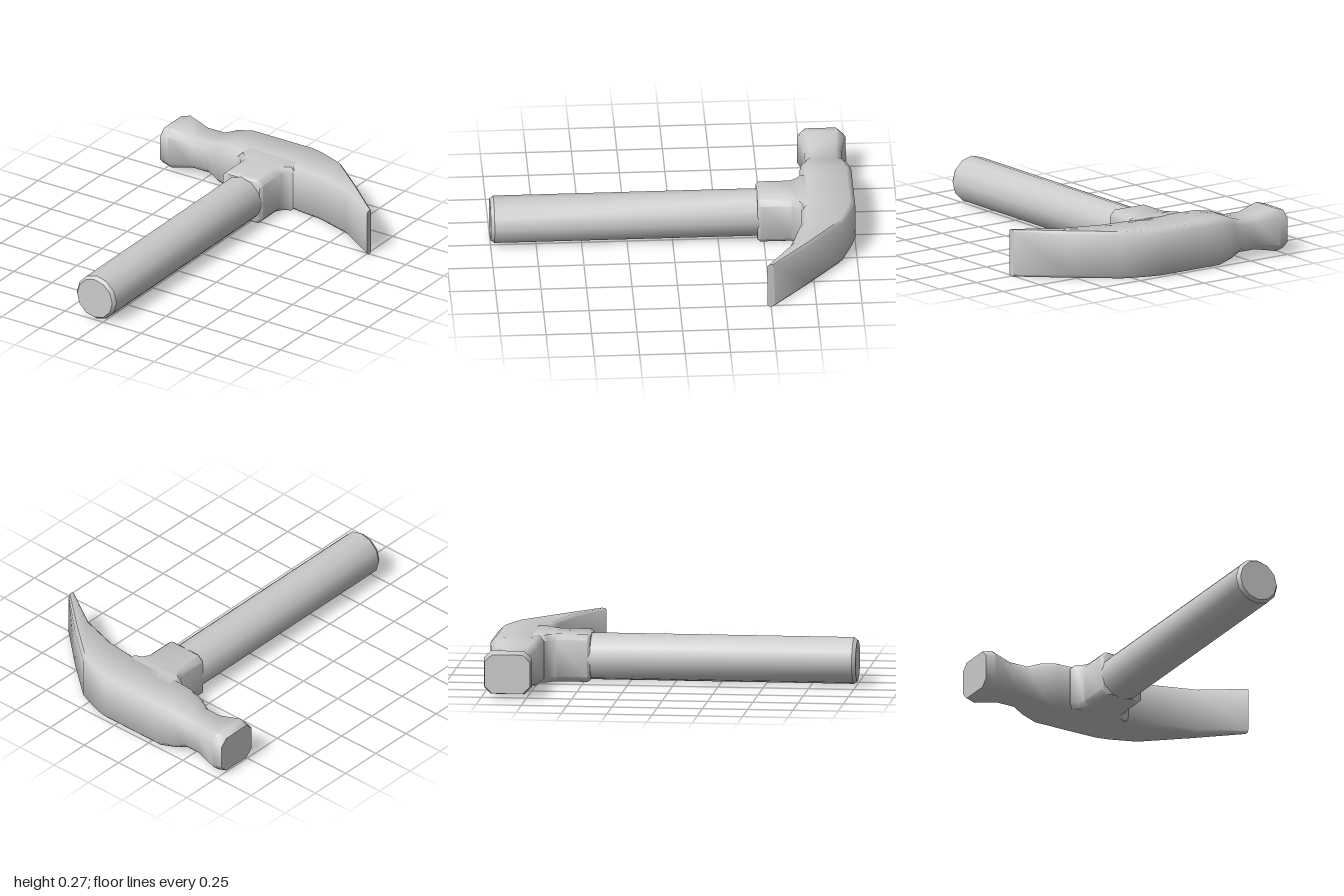
import * as THREE from 'three';
import { toCreasedNormals } from 'three/addons/utils/BufferGeometryUtils.js';

const material = new THREE.MeshStandardMaterial({ color: 0xcccccc });

// Rectangle with chamfered corners, counter-clockwise in (a, b)
function chamferedRect(a0, a1, b0, b1, c) {
  const ca = Math.min(c, (a1 - a0) * 0.35);
  const cb = Math.min(c, (b1 - b0) * 0.35);
  return [
    [a0 + ca, b0], [a1 - ca, b0], [a1, b0 + cb], [a1, b1 - cb],
    [a1 - ca, b1], [a0 + ca, b1], [a0, b1 - cb], [a0, b0 + cb],
  ];
}

// Skin a row of matching rings and close both ends
function loft(rings, crease) {
  const n = rings[0].length;
  const last = rings.length - 1;
  const points = rings.flat();
  const index = [];
  for (let i = 0; i < last; i++) {
    for (let j = 0; j < n; j++) {
      const k = (j + 1) % n;
      const a = i * n + j, b = i * n + k;
      index.push(a, b, b + n, a, b + n, a + n);
    }
  }
  for (let j = 1; j < n - 1; j++) {
    index.push(0, j + 1, j);
    index.push(last * n, last * n + j, last * n + j + 1);
  }
  const geometry = new THREE.BufferGeometry();
  geometry.setAttribute('position', new THREE.Float32BufferAttribute(points.flat(), 3));
  geometry.setIndex(index);
  return toCreasedNormals(geometry, crease);
}

function addMesh(group, name, geometry) {
  const mesh = new THREE.Mesh(geometry, material);
  mesh.name = name;
  group.add(mesh);
  return mesh;
}

export function createModel() {
  const group = new THREE.Group();
  group.name = 'clawHammer';

  // Head from striking face to claw tip: x, back z, front z, bottom y, top y, chamfer
  const headSections = [
    [-0.765, -0.98, -0.73, 0.03, 0.245, 0.04],
    [-0.71, -0.99, -0.725, 0.02, 0.26, 0.04],
    [-0.58, -0.96, -0.755, 0.045, 0.23, 0.03],
    [-0.47, -0.96, -0.755, 0.045, 0.23, 0.03],
    [-0.4, -0.985, -0.73, 0.025, 0.255, 0.03],
    [-0.31, -1, -0.715, 0.005, 0.27, 0.03],
    [-0.22, -1, -0.71, 0.005, 0.27, 0.03],
    [0.08, -1, -0.71, 0.005, 0.27, 0.03],
    [0.15, -0.98, -0.7, 0.005, 0.27, 0.025],
    [0.3, -0.92, -0.69, 0.005, 0.27, 0.02],
    [0.53, -0.73, -0.62, 0.005, 0.27, 0.02],
    [0.76, -0.52, -0.48, 0.005, 0.27, 0.01],
  ];
  addMesh(group, 'head', loft(headSections.map(([x, z0, z1, y0, y1, c]) =>
    chamferedRect(y0, y1, z0, z1, c).map(([y, z]) => [x, y, z])), 0.9));

  // Socket flaring into the head: z, left edge x, right edge x, inset in y
  const socketSections = [
    [-0.78, -0.24, 0.14, 0],
    [-0.71, -0.24, 0.14, 0],
    [-0.69, -0.21, 0.1, 0],
    [-0.65, -0.185, 0.075, 0],
    [-0.48, -0.185, 0.075, 0],
    [-0.465, -0.175, 0.065, 0.01],
  ];
  addMesh(group, 'handleSocket', loft(socketSections.map(([z, x0, x1, inset]) =>
    chamferedRect(x0, x1, 0.005 + inset, 0.27 - inset, 0.03).map(([x, y]) => [x, y, z])), 0.9));

  // Twelve-sided handle with a bevelled butt
  const profile = [[0, -0.55], [0.13, -0.55], [0.13, 0.98], [0.115, 1], [0, 1]]
    .map(([r, y]) => new THREE.Vector2(r, y));
  const handle = addMesh(group, 'handle', toCreasedNormals(new THREE.LatheGeometry(profile, 12), 0.6));
  handle.rotation.x = Math.PI / 2;
  handle.position.set(-0.055, 0.135, 0);

  return group;
}
